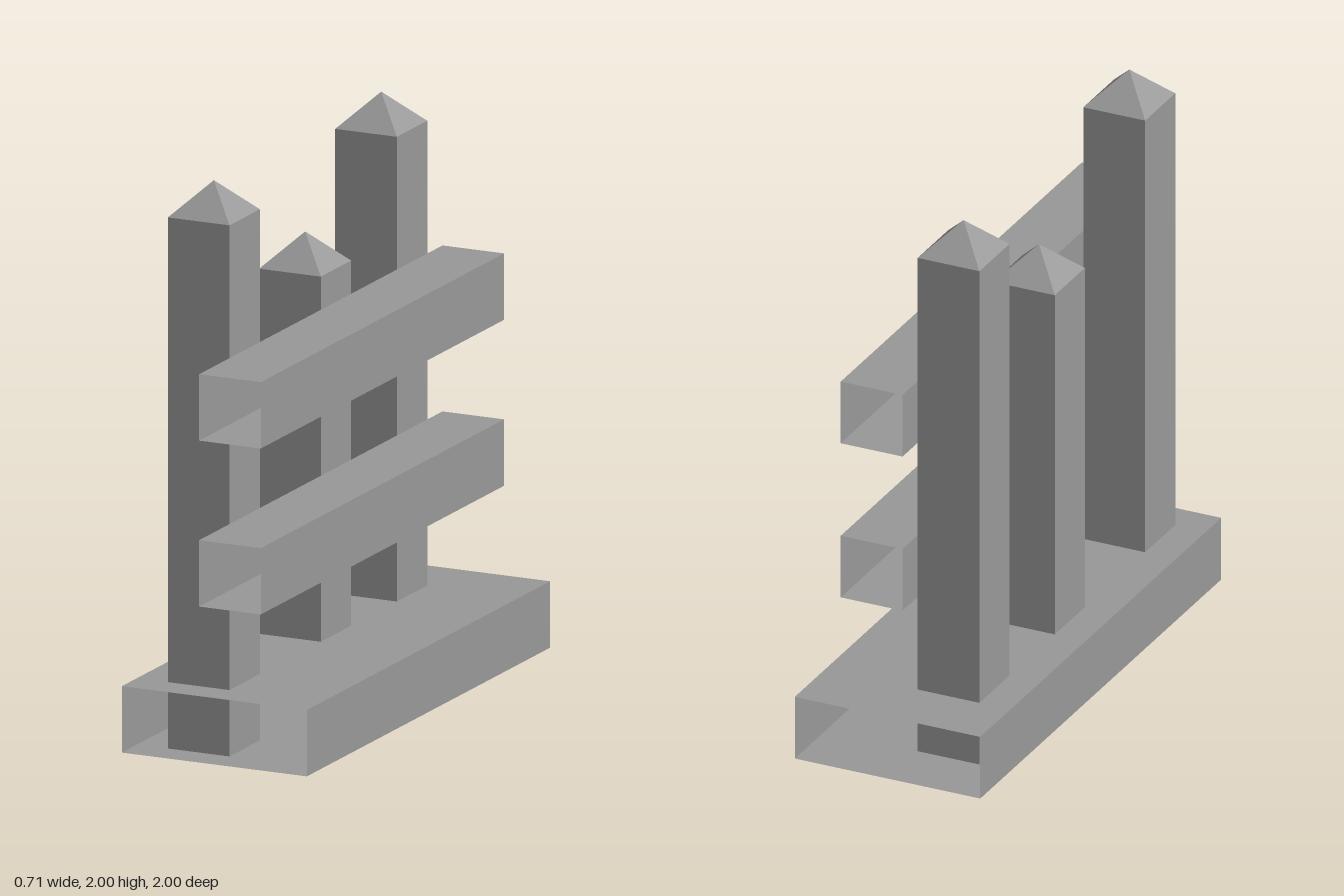
import * as THREE from 'three';

const U = 2 / 17; // modular unit: every part is a whole or half number of these
const material = new THREE.MeshStandardMaterial({ color: 0x999999, flatShading: true, side: THREE.DoubleSide });

// Rectangular tube along z, open at both ends (size and centre in units)
function openBeam(name, w, h, l, x, y, z) {
  const geometry = new THREE.BoxGeometry(w * U, h * U, l * U);
  // keep the four side walls, drop the two end faces
  geometry.setIndex(Array.from(geometry.index.array).slice(0, 24));
  geometry.clearGroups();
  const mesh = new THREE.Mesh(geometry, material);
  mesh.name = name;
  mesh.position.set(x * U, y * U, z * U);
  return mesh;
}

// Square post with a pyramid tip
function post(name, height, z) {
  const group = new THREE.Group();
  group.name = name;
  const r = Math.SQRT2 * U;

  const shaft = new THREE.Mesh(
    new THREE.CylinderGeometry(r, r, height * U, 4, 1, true).rotateY(Math.PI / 4), material);
  shaft.name = 'postShaft';
  shaft.position.y = height * U / 2;

  const tip = new THREE.Mesh(
    new THREE.ConeGeometry(r, U, 4, 1, true).rotateY(Math.PI / 4), material);
  tip.name = 'postTip';
  tip.position.y = (height + 0.5) * U;

  group.add(shaft, tip);
  group.position.set(-U, 0, z * U);
  return group;
}

export function createModel() {
  const model = new THREE.Group();
  model.name = 'fence';

  // Hollow base and the two rails, offset lengthwise from it
  model.add(
    openBeam('base', 6, 2, 16, 0, 1, -0.5),
    openBeam('lowerRail', 2, 2, 16, 1, 6, 0.5),
    openBeam('upperRail', 2, 2, 16, 1, 11, 0.5));

  // Two tall outer posts and a shorter middle one
  model.add(
    post('frontPost', 16, 5.5),
    post('middlePost', 13, -0.5),
    post('backPost', 16, -5.5));

  return model;
}
